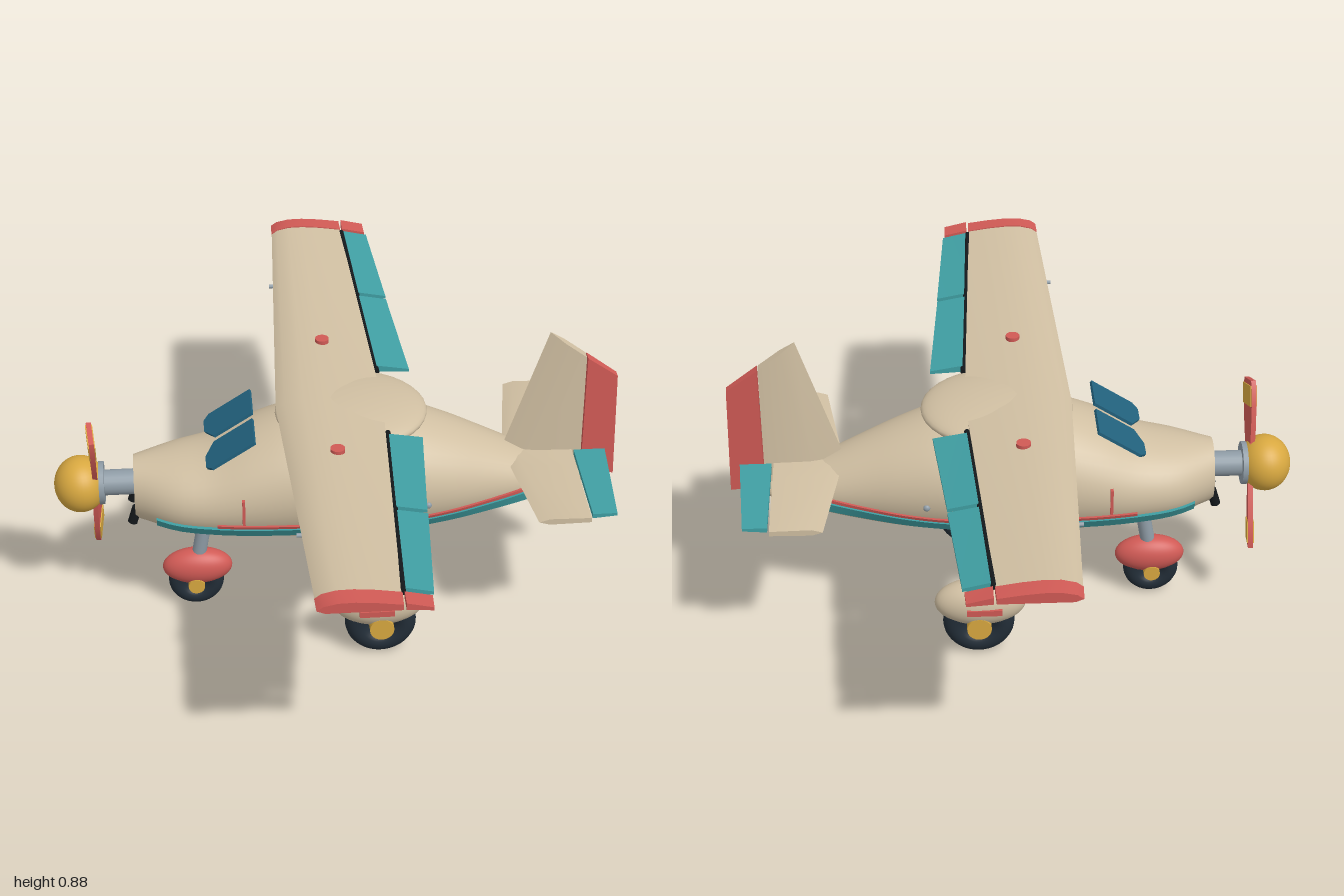
import * as THREE from 'three';
import { toCreasedNormals } from 'three/addons/utils/BufferGeometryUtils.js';

const mat = (name, color) => {
  const m = new THREE.MeshStandardMaterial({ color });
  m.name = name;
  return m;
};
const V = (x, y, z) => new THREE.Vector3(x, y, z);

// Skin between closed rings of points, with end caps; always faces outward.
function loft(rings, crease = 0.6) {
  const tris = [];
  const n = rings[0].length;
  for (let i = 0; i < rings.length - 1; i++) {
    for (let j = 0; j < n; j++) {
      const k = (j + 1) % n, a = rings[i], b = rings[i + 1];
      tris.push([a[j], b[j], b[k]], [a[j], b[k], a[k]]);
    }
  }
  const cap = (ring, flip) => {
    const c = ring.reduce((s, p) => s.add(p), V(0, 0, 0)).divideScalar(n);
    ring.forEach((p, j) => {
      const q = ring[(j + 1) % n];
      tris.push(flip ? [c, q, p] : [c, p, q]);
    });
  };
  cap(rings[0], false);
  cap(rings[rings.length - 1], true);
  // Signed volume about a point on the shape decides the winding
  const o = rings[0][0];
  let volume = 0;
  for (const [a, b, c] of tris) {
    volume += a.clone().sub(o).dot(b.clone().sub(o).cross(c.clone().sub(o)));
  }
  const pts = tris.flatMap(([a, b, c]) => (volume < 0 ? [a, c, b] : [a, b, c]));
  return toCreasedNormals(new THREE.BufferGeometry().setFromPoints(pts), crease);
}

// Fuselage stations, evenly spaced along x: bottom, top, half width
const X0 = -0.58, X1 = 0.76;
const stations = new THREE.CatmullRomCurve3([
  [0.33, 0.515, 0.085], [0.305, 0.535, 0.15], [0.288, 0.56, 0.175], [0.274, 0.612, 0.19],
  [0.267, 0.652, 0.197], [0.263, 0.663, 0.2], [0.268, 0.66, 0.198], [0.278, 0.64, 0.19],
  [0.29, 0.6, 0.165], [0.308, 0.55, 0.13], [0.333, 0.497, 0.095], [0.367, 0.45, 0.055],
  [0.393, 0.41, 0.012],
].map((p) => V(...p)), false, 'catmullrom');
const section = (x) => {
  const p = stations.getPoint((x - X0) / (X1 - X0));
  return { c: (p.x + p.y) / 2, h: (p.y - p.x) / 2, w: p.z };
};
const sideZ = (x, y) => {
  const { c, h, w } = section(x);
  return w * Math.sqrt(Math.max(0, 1 - ((y - c) / h) ** 2));
};

export function createModel() {
  const group = new THREE.Group();
  const cream = mat('cream', 0xd0bfa2), red = mat('red', 0xd05a55), teal = mat('teal', 0x409fa3);
  const yellow = mat('yellow', 0xd8a840), rubber = mat('rubber', 0x222d37), metal = mat('metal', 0x8f9ca6);
  const glass = mat('glass', 0x22627e), black = mat('black', 0x14181b);

  const add = (name, geo, material, pos = [0, 0, 0], parent = group) => {
    const m = new THREE.Mesh(geo, material);
    m.name = name;
    m.position.set(...pos);
    parent.add(m);
    return m;
  };
  const ball = (name, pos, rx, ry, rz, material) =>
    add(name, new THREE.SphereGeometry(1, 36, 24).scale(rx, ry, rz), material, pos);
  const rod = (name, a, b, r, material) => {
    const p = V(...a), q = V(...b);
    const m = add(name, new THREE.CylinderGeometry(r, r, p.distanceTo(q), 20), material);
    m.position.copy(p).lerp(q, 0.5);
    m.quaternion.setFromUnitVectors(V(0, 1, 0), q.sub(p).normalize());
  };

  // Fuselage
  const rings = [];
  for (let i = 0; i <= 48; i++) {
    const x = X0 + ((X1 - X0) * i) / 48, { c, h, w } = section(x);
    rings.push(Array.from({ length: 40 }, (_, j) => {
      const a = (j / 40) * Math.PI * 2;
      return V(x, c + h * Math.sin(a), w * Math.cos(a));
    }));
  }
  add('fuselage', loft(rings), cream);
  ball('wingFairing', [0.04, 0.648, 0], 0.215, 0.044, 0.2, cream);

  // Spinner, shaft and propeller
  ball('spinner', [-0.733, 0.437, 0], 0.075, 0.082, 0.082, yellow);
  rod('propellerShaft', [-0.7, 0.437, 0], [-0.56, 0.437, 0], 0.037, metal);
  rod('shaftCollar', [-0.68, 0.437, 0], [-0.665, 0.437, 0], 0.062, metal);
  const propeller = new THREE.Group();
  propeller.name = 'propeller';
  propeller.position.set(-0.692, 0.437, 0);
  propeller.rotation.x = 0.38;
  group.add(propeller);
  for (const turn of [0, Math.PI]) {
    const blade = new THREE.Group();
    blade.name = 'propellerBlade';
    blade.rotation.set(turn, 0.1, 0, 'XYZ');
    propeller.add(blade);
    const outline = [[0.04, 0.025], [0.1, 0.038], [0.17, 0.046], [0.22, 0.046], [0.245, 0.038]];
    add('blade', loft(outline.map(([r, w]) =>
      [V(-0.007, r, -w), V(0.007, r, -w), V(0.007, r, w), V(-0.007, r, w)])), red, [0, 0, 0], blade);
    for (const s of [-1, 1]) {
      add('bladeTipBand', new THREE.BoxGeometry(0.004, 0.06, 0.082), yellow, [s * 0.008, 0.2, 0], blade);
    }
  }

  // Wing cross-section between two x positions, flat below and arched above
  const wingRing = (x0, x1, y, thick, z) => {
    const top = [[0, 0.3], [0.08, 0.7], [0.25, 0.97], [0.45, 1], [0.7, 0.85], [1, 0.55]];
    const pts = top.map(([u, v]) => V(x0 + (x1 - x0) * u, y + thick * v, z));
    return [...pts, V(x1, y, z), V(x0 + (x1 - x0) * 0.1, y, z)];
  };
  const wingY = (z) => 0.65 + 0.053 * Math.abs(z);
  const flapRing = (x0, x1, z) => {
    const y = wingY(z);
    return [V(x0, y, z), V(x0, y + 0.02, z), V(x1, y + 0.004, z), V(x1, y - 0.005, z)];
  };
  add('wing', loft([
    wingRing(-0.13, 0.085, wingY(0.945), 0.032, -0.945),
    wingRing(-0.172, 0.13, wingY(0), 0.042, 0),
    wingRing(-0.13, 0.085, wingY(0.945), 0.032, 0.945),
  ]), cream);

  for (const s of [-1, 1]) {
    const z = (v) => s * v;
    // Wing tip, flap and aileron
    add('wingTip', loft([
      wingRing(-0.131, 0.087, wingY(0.945), 0.034, z(0.947)),
      wingRing(-0.129, 0.085, wingY(1), 0.03, z(1)),
    ]), red);
    add('wingTipTrailing', loft([flapRing(0.092, 0.162, z(0.947)), flapRing(0.092, 0.16, z(1))]), red);
    add('flap', loft([flapRing(0.13, 0.224, z(0.18)), flapRing(0.112, 0.194, z(0.555))]), teal);
    add('aileron', loft([flapRing(0.112, 0.194, z(0.572)), flapRing(0.096, 0.167, z(0.932))]), teal);
    rod('hingeLine', [0.129, wingY(0.16) + 0.012, z(0.16)], [0.089, wingY(0.94) + 0.012, z(0.94)], 0.008, black);
    add('fuelCap', new THREE.CylinderGeometry(0.02, 0.02, 0.012, 24), red, [-0.02, wingY(0.29) + 0.042, z(0.29)]);
    rod('airProbe', [-0.155, wingY(0.65) + 0.005, z(0.65)], [-0.11, wingY(0.65) + 0.005, z(0.65)], 0.006, metal);

    // Wing strut
    rod('wingStrut', [0.067, 0.335, z(0.2)], [0.024, 0.66, z(0.628)], 0.021, cream);
    ball('strutLowerJoint', [0.067, 0.33, z(0.195)], 0.03, 0.03, 0.03, metal);
    ball('strutUpperJoint', [0.024, 0.662, z(0.628)], 0.028, 0.028, 0.028, metal);
    rod('cabinPost', [0.04, 0.5, z(0.2)], [0.04, 0.65, z(0.195)], 0.007, cream);

    // Windshield pane, a thin sloping plate
    const pane = [[-0.37, 0.065], [-0.345, 0.015], [-0.235, 0.015], [-0.235, 0.14], [-0.355, 0.14], [-0.37, 0.12]];
    add('windshieldPane', loft([0, 0.009].map((d) =>
      pane.map(([x, w]) => V(x - d * 0.55, 0.547 + (x + 0.37) * 0.66 + d * 0.83, z(w))))), glass);

    // Side stripes hugging the fuselage
    const stripe = (name, xa, xb, lift, half, out, material) => add(name, loft(
      Array.from({ length: 33 }, (_, i) => {
        const x = xa + ((xb - xa) * i) / 32;
        const y = 0.357 + (x < 0 ? 0.05 : 0.13) * x * x + lift;
        return [[-half, -0.01], [half, -0.01], [half, out], [-half, out]].map(([dy, dz]) =>
          V(x, y + dy, z(sideZ(x, y + dy) + dz)));
      })), material);
    stripe('sideStripe', -0.52, 0.605, 0, 0.016, 0.012, teal);
    stripe('thinStripe', -0.35, 0.605, 0.024, 0.005, 0.008, red);

    // Door details
    add('doorHandle', new THREE.BoxGeometry(0.065, 0.016, 0.02), black, [-0.02, 0.42, z(sideZ(-0.02, 0.42) + 0.006)]);
    add('doorMark', new THREE.BoxGeometry(0.008, 0.08, 0.014), red, [-0.275, 0.44, z(sideZ(-0.275, 0.44))]);
    ball('sidePort', [0.245, 0.433, z(sideZ(0.245, 0.433))], 0.01, 0.01, 0.008, metal);
    rod('exhaust', [-0.575, 0.385, z(0.055)], [-0.59, 0.335, z(0.055)], 0.014, black);

    // Main landing gear
    rod('mainGearLeg', [0.06, 0.335, z(0.125)], [0.1, 0.19, z(0.255)], 0.021, metal);
    ball('mainFender', [0.1, 0.168, z(0.265)], 0.13, 0.072, 0.06, cream);
    add('mainTire', new THREE.TorusGeometry(0.069, 0.033, 20, 48), rubber, [0.105, 0.102, z(0.265)]);
    rod('mainHub', [0.105, 0.105, z(0.235)], [0.105, 0.105, z(0.32)], 0.035, yellow);
    add('fenderStripe', new THREE.BoxGeometry(0.1, 0.018, 0.009), red, [0.09, 0.167, z(0.324)]);

    // Tailplane and elevator
    const tailRing = (x0, x1, w, front, back) => [V(x0, 0.485, z(w)), V(x0 + 0.03, 0.485 + front, z(w)),
      V(x1, 0.485 + back, z(w)), V(x1, 0.485 - back, z(w)), V(x0 + 0.03, 0.485 - front, z(w))];
    add('tailplane', loft([tailRing(0.48, 0.676, 0, 0.012, 0.008), tailRing(0.492, 0.676, 0.1, 0.012, 0.008),
      tailRing(0.53, 0.676, 0.36, 0.009, 0.007)]), cream);
    add('elevator', loft([[0.772, 0.02], [0.75, 0.342]].map(([x, w]) =>
      [V(0.682, 0.478, z(w)), V(0.682, 0.492, z(w)), V(x, 0.492, z(w)), V(x, 0.484, z(w))])), teal);
    add('noseHub', new THREE.CylinderGeometry(0.024, 0.024, 0.04, 24).rotateX(Math.PI / 2), yellow, [-0.415, 0.082, z(0.025)]);
  }

  // Nose landing gear
  rod('noseGearLeg', [-0.38, 0.31, 0], [-0.408, 0.15, 0], 0.021, metal);
  ball('noseFender', [-0.41, 0.13, 0], 0.102, 0.057, 0.048, red);
  add('noseTire', new THREE.TorusGeometry(0.054, 0.027, 20, 40), rubber, [-0.415, 0.081, 0]);

  // Fin and rudder: stacked sections up the tail
  const finRing = (x0, x1, y0, y1, w) => [V(x0, y0, 0), V(x0 + 0.4 * (x1 - x0), y0 + 0.4 * (y1 - y0), w),
    V(x1, y1, w), V(x1, y1, -w), V(x0 + 0.4 * (x1 - x0), y0 + 0.4 * (y1 - y0), -w)];
  add('fin', loft([finRing(0.475, 0.703, 0.5, 0.42, 0.02), finRing(0.598, 0.703, 0.876, 0.797, 0.014)]), cream);
  const rudder = (x0, x1, y0, y1, w) => [V(x0, y0, w), V(x1, y1, w * 0.7), V(x1, y1, -w * 0.7), V(x0, y0, -w)];
  add('rudder', loft([rudder(0.706, 0.803, 0.415, 0.403, 0.021), rudder(0.706, 0.795, 0.795, 0.73, 0.017)]), red);

  return group;
}
